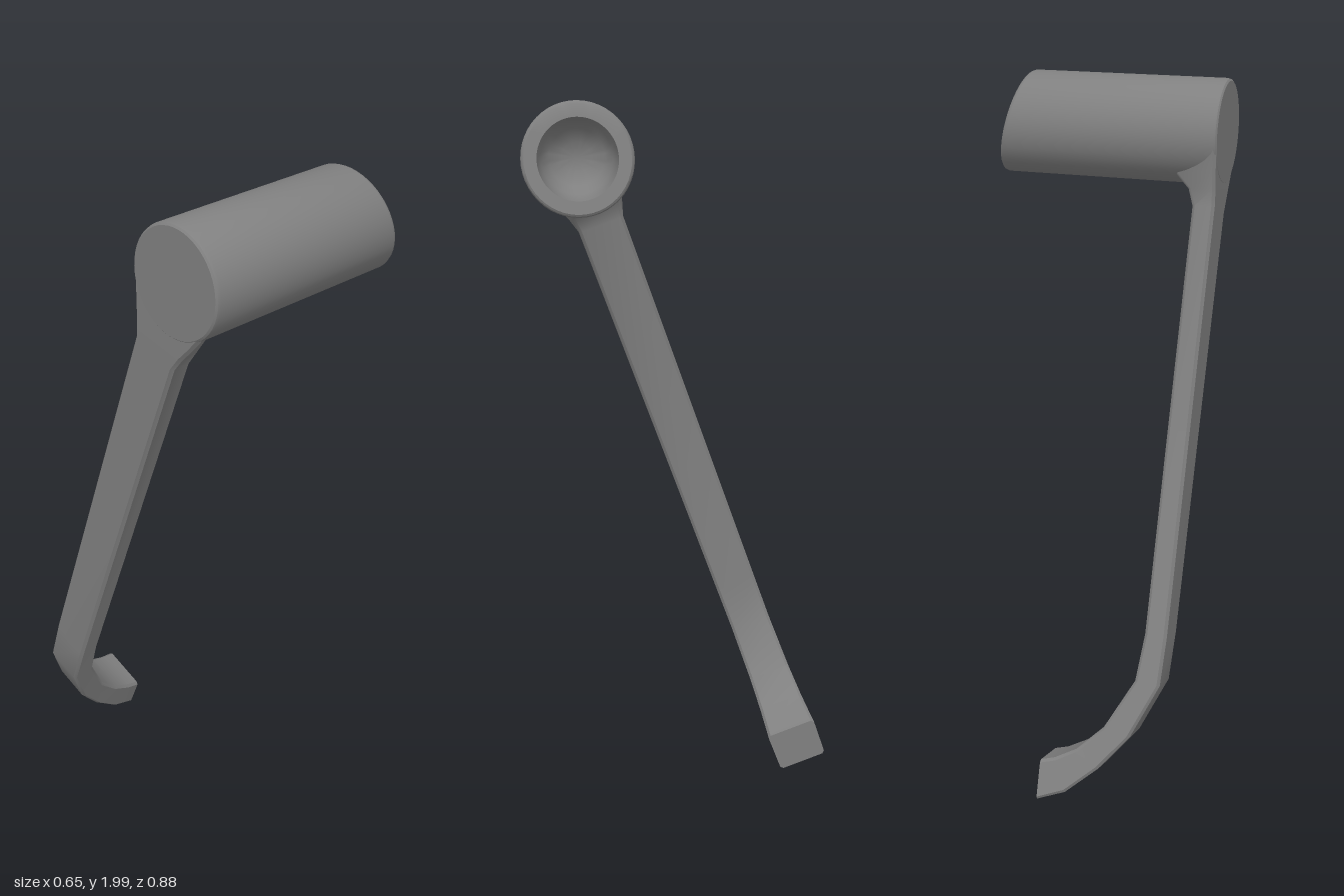
import * as THREE from 'three';
import { toCreasedNormals } from 'three/addons/utils/BufferGeometryUtils.js';

const TILT = THREE.MathUtils.degToRad(20);

// Hollow-ended barrel lying along x, with a slanted open end
function barrelGeometry() {
  const profile = [
    [0, -0.325], [0.138, -0.325], [0.143, -0.321], [0.145, -0.314], // closed end
    [0.145, 0.278], [0.142, 0.286], [0.137, 0.29], [0.104, 0.29], // slanted rim
    [0.103, 0.2], [0.095, 0.15], [0.075, 0.115], [0.04, 0.095], [0, 0.09], // bore
  ].map(([r, x]) => new THREE.Vector2(r, x));
  const geo = new THREE.LatheGeometry(profile, 48);
  geo.rotateZ(-Math.PI / 2);
  const p = geo.attributes.position;
  for (let i = 0; i < p.count; i++) {
    if (p.getX(i) > 0.25) p.setX(i, p.getX(i) - 0.25 * p.getY(i));
  }
  return toCreasedNormals(geo, 0.6);
}

// Arm sections: [outer x, outer drop, outer half width, inner x, inner drop, inner half width]
const SECTIONS = [
  [-0.323, 0.04, 0.137, -0.2, 0.04, 0.1],
  [-0.324, 0.13, 0.104, -0.2, 0.13, 0.064],
  [-0.325, 0.175, 0.085, -0.247, 0.175, 0.074],
  [-0.325, 0.22, 0.071, -0.262, 0.22, 0.069],
  [-0.325, 1.42, 0.063, -0.262, 1.42, 0.063],
  [-0.32, 1.56, 0.061, -0.248, 1.557, 0.062],
  [-0.25, 1.72, 0.061, -0.172, 1.705, 0.064],
  [-0.17, 1.825, 0.066, -0.1, 1.78, 0.068],
  [-0.08, 1.91, 0.07, -0.04, 1.815, 0.072],
  [0, 1.945, 0.072, 0, 1.828, 0.074],
];

// Lofted bar with lightly chamfered edges; local -y runs down the arm
function armGeometry() {
  const pos = [], index = [], c = 0.008, n = 8;
  for (const [xo, uo, ho, xi, ui, hi] of SECTIONS) {
    const f = c / Math.hypot(xi - xo, ui - uo);
    const ring = [
      [0, ho - c], [f, ho], [1 - f, hi], [1, hi - c],
      [1, c - hi], [1 - f, -hi], [f, -ho], [0, c - ho],
    ];
    for (const [t, w] of ring) pos.push(xo + (xi - xo) * t, -(uo + (ui - uo) * t), w);
  }
  const last = (SECTIONS.length - 1) * n;
  for (let s = 0; s < last; s += n) {
    for (let j = 0; j < n; j++) {
      const a = s + j, b = s + (j + 1) % n;
      index.push(a, a + n, b, b, a + n, b + n);
    }
  }
  // End caps
  for (let j = 1; j < n - 1; j++) {
    index.push(0, j, j + 1, last, last + j + 1, last + j);
  }
  const geo = new THREE.BufferGeometry();
  geo.setAttribute('position', new THREE.Float32BufferAttribute(pos, 3));
  geo.setIndex(index);
  return toCreasedNormals(geo, 0.7);
}

export function createModel() {
  const model = new THREE.Group();
  model.name = 'crankHandle';
  const grey = new THREE.MeshStandardMaterial({ color: 0x808080 });
  grey.name = 'plain grey';

  const barrel = new THREE.Mesh(barrelGeometry(), grey);
  barrel.name = 'barrel';
  barrel.position.set(0, 1.855, 0.285);

  const arm = new THREE.Mesh(armGeometry(), grey);
  arm.name = 'curvedArm';
  arm.position.set(0, 1.858, 0.285);
  arm.rotation.x = TILT;

  model.add(barrel, arm);
  return model;
}
